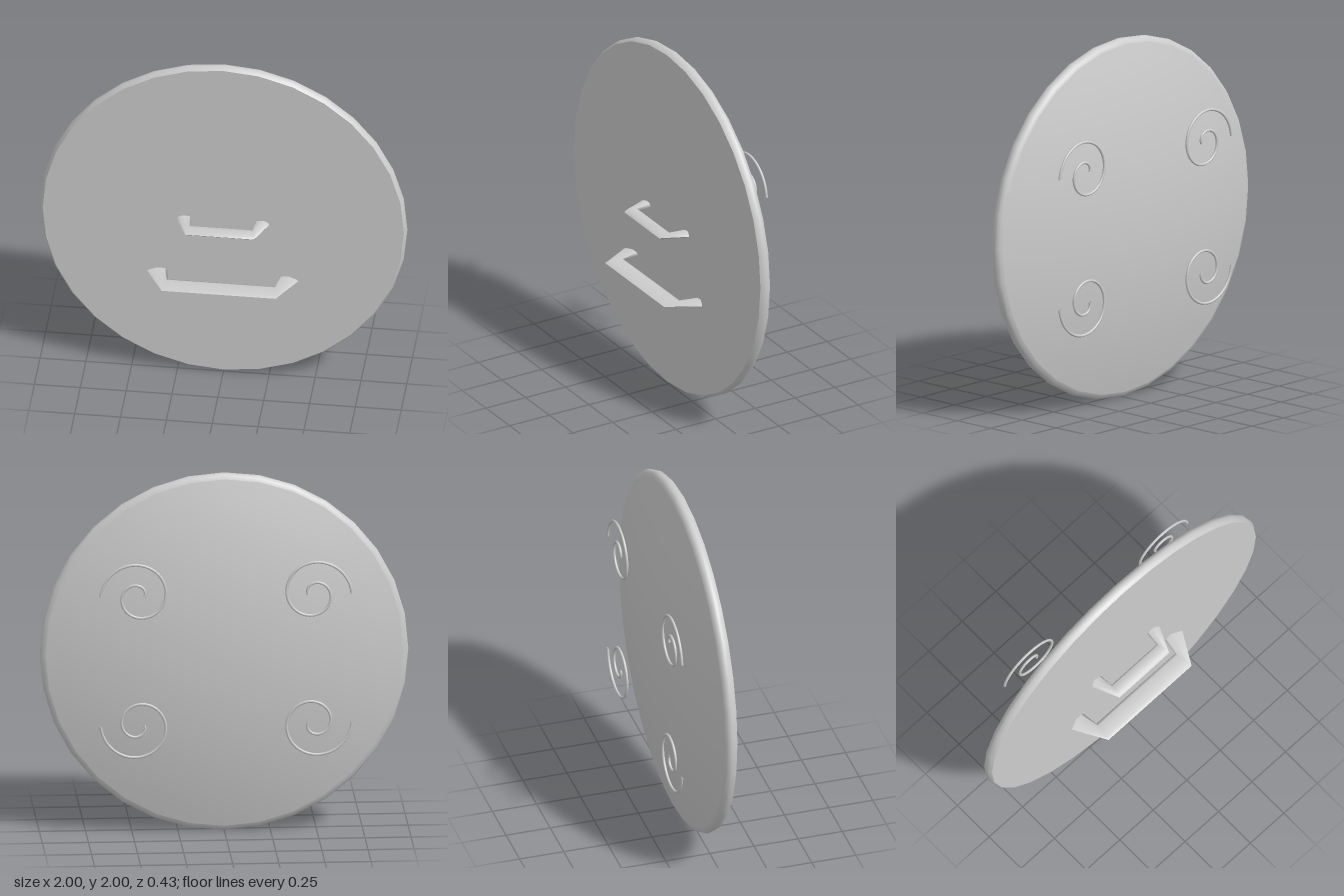
import * as THREE from 'three';

const SIDES = 32;

// Spiral in the xy plane, one and a half turns from the inside out
class Spiral extends THREE.Curve {
  constructor(sx, sy) {
    super();
    this.sx = sx;
    this.sy = sy;
  }
  getPoint(t, target = new THREE.Vector3()) {
    const r = 0.0325 + 0.1725 * t;
    const a = Math.PI * 3 * (1 - t);
    return target.set(
      this.sx * (0.476 + r * Math.cos(a)),
      1 + this.sy * (0.361 + r * Math.sin(a)),
      -0.213
    );
  }
}

// Flattened eight-sided bar through stations [x, z, normalX, normalZ]
function handleGeometry(stations, width, thickness) {
  const g = new THREE.PlaneGeometry(1, 1, stations.length - 1, 8);
  const p = g.attributes.position;
  for (let i = 0; i < p.count; i++) {
    const s = stations[Math.round((p.getX(i) + 0.5) * (stations.length - 1))];
    const a = (p.getY(i) + 0.5) * Math.PI * 2;
    const w = Math.cos(a) * width;
    p.setXYZ(i, s[0] + s[2] * w, Math.sin(a) * thickness, s[1] + s[3] * w);
  }
  g.computeVertexNormals();
  return g;
}

export function createModel() {
  const group = new THREE.Group();
  const grey = new THREE.MeshStandardMaterial({ color: 0xcccccc, side: THREE.DoubleSide });
  grey.name = 'shieldGrey';

  const add = (name, geometry, y = 0) => {
    const mesh = new THREE.Mesh(geometry, grey);
    mesh.name = name;
    mesh.position.y = y;
    group.add(mesh);
  };

  // Turned parts, with profile points given as [radius, z]
  const turned = (name, points) => {
    const g = new THREE.LatheGeometry(points.map(([r, z]) => new THREE.Vector2(r, z)), SIDES);
    g.rotateX(Math.PI / 2);
    add(name, g, 1);
  };

  // Shallow dome on the back
  const dome = [];
  for (let i = 0; i <= 12; i++) {
    const r = (0.97 * i) / 12;
    dome.push([r, -0.193 + 0.133 * (r / 0.97) ** 2]);
  }
  turned('dome', dome);

  // Rounded rim and flat front
  turned('rim', [[0.97, -0.06], [0.988, -0.052], [0.998, -0.038], [1, -0.025], [0.996, -0.007], [0.985, 0.007]]);
  turned('frontPlate', [[0.985, 0.007], [0, 0.007]]);

  // Grip and arm bar on the front, mirrored about x = 0
  const mirrored = (end, corner) => {
    const flip = ([x, z, nx, nz]) => [-x, z, -nx, nz];
    return [flip(end), flip(corner), corner, end];
  };
  add('grip', handleGeometry(mirrored([0.214, 0.004, 0.92, 0.39], [0.178, 0.127, 0.2, 0.98]), 0.042, 0.015), 1);
  add('armBar', handleGeometry(mirrored([0.36, 0.01, 0.92, 0.39], [0.302, 0.156, 0.14, 0.99]), 0.057, 0.01), 0.65);

  // Four spiral ornaments floating just off the dome
  for (const sx of [-1, 1]) {
    for (const sy of [-1, 1]) {
      const name = (sy > 0 ? 'upper' : 'lower') + (sx > 0 ? 'Left' : 'Right') + 'Spiral';
      add(name, new THREE.TubeGeometry(new Spiral(sx, sy), 64, 0.0075, 8));
    }
  }

  return group;
}
